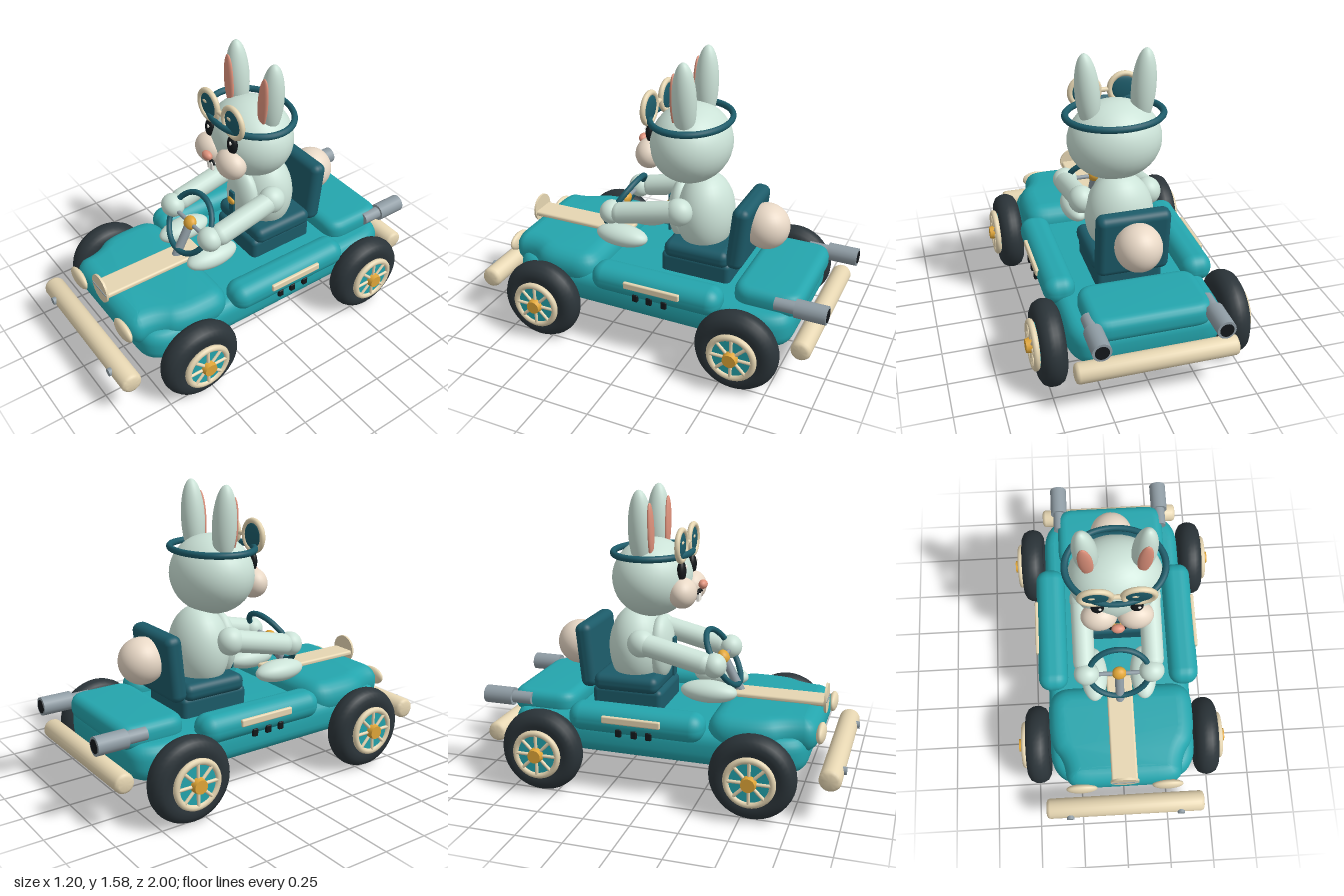
import * as THREE from 'three';
import { toCreasedNormals } from 'three/addons/utils/BufferGeometryUtils.js';
import { RoundedBoxGeometry } from 'three/addons/geometries/RoundedBoxGeometry.js';

const mat = (color) => new THREE.MeshStandardMaterial({ color });
const TEAL = mat(0x24a5ad), DARK = mat(0x1c5b69), CREAM = mat(0xe6d6b2), FUR = mat(0xcbe2d7),
  MUZZLE = mat(0xe8d8c6), RUBBER = mat(0x2b3439), STEEL = mat(0x8f9ca4), GOLD = mat(0xe0a638),
  PINK = mat(0xe0937d), BLACK = mat(0x14181b), WHITE = mat(0xf4f2ea);

export function createModel() {
  const model = new THREE.Group();
  model.name = 'rabbitInKart';

  const add = (name, geometry, material, x = 0, y = 0, z = 0, parent = model) => {
    const mesh = new THREE.Mesh(geometry, material);
    mesh.name = name;
    mesh.position.set(x, y, z);
    parent.add(mesh);
    return mesh;
  };
  const ball = (name, material, pos, radii, parent) => {
    const [rx, ry, rz] = radii;
    return add(name, new THREE.SphereGeometry(1, 32, 20).scale(rx, ry, rz), material, ...pos, parent);
  };
  const box = (name, material, pos, size, radius, parent) =>
    add(name, new RoundedBoxGeometry(...size, 4, radius), material, ...pos, parent);
  // rod between two points, optionally with round ends
  const rod = (name, material, a, b, radius, round = false, parent) => {
    const p = new THREE.Vector3(...a), q = new THREE.Vector3(...b), d = q.clone().sub(p);
    const g = round ? new THREE.CapsuleGeometry(radius, d.length(), 8, 20)
      : new THREE.CylinderGeometry(radius, radius, d.length(), 20);
    const mesh = add(name, g, material, ...p.clone().lerp(q, 0.5).toArray(), parent);
    mesh.quaternion.setFromUnitVectors(new THREE.Vector3(0, 1, 0), d.normalize());
    return mesh;
  };
  // horizontal slab with a rounded outline given as [x, z] corners, and bevelled edges
  const slab = (name, material, corners, y0, y1, round, bevel, rise) => {
    const pts = corners.map(([x, z]) => new THREE.Vector2(x, -z));
    const shape = new THREE.Shape();
    pts.forEach((p, i) => {
      const prev = pts[(i + pts.length - 1) % pts.length], next = pts[(i + 1) % pts.length];
      const toward = (t) => p.clone().add(t.clone().sub(p).setLength(Math.min(round, p.distanceTo(t) * 0.48)));
      const a = toward(prev), b = toward(next);
      if (i === 0) shape.moveTo(a.x, a.y); else shape.lineTo(a.x, a.y);
      shape.quadraticCurveTo(p.x, p.y, b.x, b.y);
    });
    shape.closePath();
    const g = new THREE.ExtrudeGeometry(shape, {
      depth: y1 - y0 - 2 * rise, bevelThickness: rise, bevelSize: bevel, bevelOffset: -bevel,
      bevelSegments: 5, curveSegments: 8,
    });
    g.translate(0, 0, rise).rotateX(-Math.PI / 2);
    return add(name, toCreasedNormals(g, 0.7), material, 0, y0, 0);
  };

  // Kart body
  slab('floorPan', TEAL, [[-0.41, 0.7], [-0.33, 0.8], [0.33, 0.8], [0.41, 0.7],
    [0.41, -0.72], [0.34, -0.82], [-0.34, -0.82], [-0.41, -0.72]], 0.2, 0.39, 0.08, 0.06, 0.07);
  slab('hood', TEAL, [[-0.41, 0.28], [-0.41, 0.6], [-0.33, 0.7], [-0.32, 0.85],
    [0.32, 0.85], [0.33, 0.7], [0.41, 0.6], [0.41, 0.28]], 0.29, 0.48, 0.13, 0.09, 0.085);
  slab('rearDeck', TEAL, [[-0.32, -0.48], [0.32, -0.48], [0.32, -0.85], [-0.32, -0.85]],
    0.35, 0.48, 0.1, 0.05, 0.05);
  box('hoodStripe', CREAM, [0, 0.488, 0.545], [0.145, 0.03, 0.61], 0.012);

  // Nose badge: a plain thin disc with a slot
  const disc = add('noseDisc', new THREE.CylinderGeometry(0.08, 0.08, 0.012, 32), CREAM, 0, 0.5, 0.845);
  disc.rotation.x = Math.PI / 2;
  box('noseSlot', STEEL, [0, 0.5, 0.852], [0.14, 0.008, 0.006], 0.002);

  // Bumpers
  const bumper = (name, halfWidth, y, z, r) => {
    const b = r * 0.35;
    const profile = [[0, -halfWidth], [r - b, -halfWidth], [r - b * 0.3, -halfWidth + b * 0.3], [r, -halfWidth + b],
      [r, halfWidth - b], [r - b * 0.3, halfWidth - b * 0.3], [r - b, halfWidth], [0, halfWidth]];
    const g = new THREE.LatheGeometry(profile.map((p) => new THREE.Vector2(...p)), 28);
    add(name, toCreasedNormals(g, 0.9), CREAM, 0, y, z).rotation.z = Math.PI / 2;
  };
  bumper('frontBumper', 0.45, 0.23, 0.932, 0.057);
  bumper('rearBumper', 0.42, 0.255, -0.895, 0.053);

  // Wheel, built with its axle along y and the outer face up
  const tyreProfile = [[0, -0.05], [0.13, -0.05], [0.15, -0.065], [0.18, -0.065], [0.207, -0.05], [0.221, -0.024],
    [0.225, 0], [0.221, 0.024], [0.207, 0.05], [0.18, 0.065], [0.15, 0.065], [0.12, 0.055], [0, 0.055]]
    .map((p) => new THREE.Vector2(...p));
  const wheel = (name, side, z) => {
    const w = new THREE.Group();
    w.name = name;
    w.position.set(side * 0.485, 0.225, z);
    w.rotation.z = -side * Math.PI / 2;
    model.add(w);
    add('tyre', toCreasedNormals(new THREE.LatheGeometry(tyreProfile, 40), 0.7), RUBBER, 0, 0, 0, w);
    add('rimDisc', new THREE.CylinderGeometry(0.112, 0.112, 0.03, 32), TEAL, 0, 0.067, 0, w);
    add('rimRing', new THREE.TorusGeometry(0.118, 0.017, 10, 40).rotateX(Math.PI / 2), CREAM, 0, 0.078, 0, w);
    add('hubCap', new THREE.CylinderGeometry(0.036, 0.044, 0.045, 20), GOLD, 0, 0.092, 0, w);
    for (let i = 0; i < 8; i++) {
      const a = i * Math.PI / 4;
      rod('spoke', CREAM, [Math.cos(a) * 0.03, 0.084, Math.sin(a) * 0.03],
        [Math.cos(a) * 0.112, 0.084, Math.sin(a) * 0.112], 0.009, false, w);
    }
  };

  // Mirrored kart parts
  for (const s of [1, -1]) {
    const side = s > 0 ? 'left' : 'right';
    wheel(side + 'FrontWheel', s, 0.555);
    wheel(side + 'RearWheel', s, -0.585);
    box(side + 'SidePod', TEAL, [s * 0.377, 0.405, -0.09], [0.17, 0.15, 0.74], 0.07);
    box(side + 'PodTrim', CREAM, [s * 0.462, 0.425, -0.095], [0.022, 0.04, 0.32], 0.008);
    for (const z of [0, -0.08, -0.165])
      box(side + 'PodVent', BLACK, [s * 0.455, 0.355, z], [0.02, 0.042, 0.032], 0.006);
    ball(side + 'Headlight', CREAM, [s * 0.24, 0.397, 0.855], [0.087, 0.051, 0.025]);
    rod(side + 'BumperBolt', STEEL, [s * 0.315, 0.24, 0.96], [s * 0.315, 0.24, 1], 0.021);
    rod(side + 'ExhaustPipe', STEEL, [s * 0.31, 0.435, -0.72], [s * 0.31, 0.435, -0.85], 0.034);
    rod(side + 'ExhaustTip', STEEL, [s * 0.31, 0.435, -0.83], [s * 0.31, 0.435, -0.995], 0.049);
    rod(side + 'ExhaustHole', BLACK, [s * 0.31, 0.435, -0.98], [s * 0.31, 0.435, -0.998], 0.036);
  }

  // Seat
  box('seatBase', DARK, [0, 0.43, -0.22], [0.36, 0.14, 0.4], 0.03);
  box('seatCushion', DARK, [0, 0.525, -0.225], [0.4, 0.095, 0.37], 0.04);
  box('seatBack', DARK, [0, 0.665, -0.455], [0.39, 0.36, 0.095], 0.04).rotation.x = -0.1;

  // Steering wheel and column
  const steering = new THREE.Group();
  steering.name = 'steeringWheel';
  steering.position.set(0, 0.675, 0.28);
  steering.rotation.x = -0.555;
  model.add(steering);
  add('steeringRim', new THREE.TorusGeometry(0.168, 0.016, 12, 48), DARK, 0, 0, 0, steering);
  rod('crossSpoke', STEEL, [-0.168, 0, 0], [0.168, 0, 0], 0.012, false, steering);
  rod('lowerSpoke', STEEL, [0, 0, 0], [0, -0.168, 0], 0.012, false, steering);
  ball('steeringHub', GOLD, [0, 0, 0], [0.04, 0.04, 0.03], steering);
  rod('steeringColumn', STEEL, [0, 0.675, 0.28], [0, 0.45, 0.4], 0.025);

  // Rabbit body
  ball('torso', FUR, [0, 0.7, -0.21], [0.185, 0.235, 0.158]);
  ball('belly', FUR, [0, 0.7, -0.075], [0.125, 0.18, 0.07]);
  box('tie', DARK, [0, 0.655, 0], [0.042, 0.22, 0.016], 0.006);
  ball('tieClip', GOLD, [0, 0.705, 0.008], [0.03, 0.022, 0.014]);
  ball('tail', MUZZLE, [0, 0.69, -0.558], [0.122, 0.125, 0.125]);

  // Head, with a band around it
  ball('head', FUR, [0, 1.095, -0.122], [0.252, 0.213, 0.217]);
  const band = add('headBand', new THREE.TorusGeometry(0.25, 0.018, 12, 56).rotateX(Math.PI / 2), DARK, 0, 1.236, -0.12);
  band.scale.set(1.03, 1, 0.84);
  ball('nose', PINK, [0, 1.07, 0.16], [0.035, 0.025, 0.024]);
  rod('goggleBridge', CREAM, [-0.03, 1.292, 0.072], [0.03, 1.292, 0.072], 0.013);

  for (const s of [1, -1]) {
    const side = s > 0 ? 'left' : 'right';
    // Limbs
    ball(side + 'Shoulder', FUR, [s * 0.185, 0.765, -0.13], [0.07, 0.075, 0.075]);
    rod(side + 'Arm', FUR, [s * 0.19, 0.765, -0.11], [s * 0.19, 0.69, 0.21], 0.06, true);
    ball(side + 'Hand', FUR, [s * 0.18, 0.68, 0.275], [0.07, 0.066, 0.064]);
    ball(side + 'Foot', FUR, [s * 0.14, 0.52, 0.235], [0.075, 0.06, 0.155]);
    // Ear narrowing towards the tip
    const ear = new THREE.Group();
    ear.name = side + 'Ear';
    ear.position.set(s * 0.148, 1.37, -0.14);
    ear.rotation.z = -s * 0.08;
    model.add(ear);
    ball('earShell', FUR, [0, 0, 0], [0.064, 0.21, 0.064], ear);
    ball('earInner', PINK, [0, 0.0, 0.055], [0.038, 0.145, 0.018], ear);
    // Face
    ball(side + 'Cheek', MUZZLE, [s * 0.095, 1.037, 0.075], [0.096, 0.082, 0.075]);
    ball(side + 'Eye', BLACK, [s * 0.1, 1.155, 0.07], [0.035, 0.056, 0.024]);
    ball(side + 'EyeGlint', WHITE, [s * 0.1 + 0.012, 1.178, 0.092], [0.009, 0.011, 0.005]);
    add(side + 'Mouth', new THREE.TorusGeometry(0.02, 0.006, 8, 16, Math.PI), BLACK, s * 0.018, 1.022, 0.142);
    box(side + 'Tooth', WHITE, [s * 0.013, 1.0, 0.138], [0.023, 0.045, 0.016], 0.004);
    // Goggles
    add(side + 'GoggleFrame', new THREE.TorusGeometry(0.08, 0.015, 12, 40), CREAM, s * 0.108, 1.292, 0.072);
    ball(side + 'GoggleLens', DARK, [s * 0.108, 1.292, 0.07], [0.072, 0.072, 0.016]);
    ball(side + 'LensGlint', CREAM, [s * 0.108 - 0.018, 1.31, 0.085], [0.018, 0.009, 0.004]);
  }
  return model;
}
